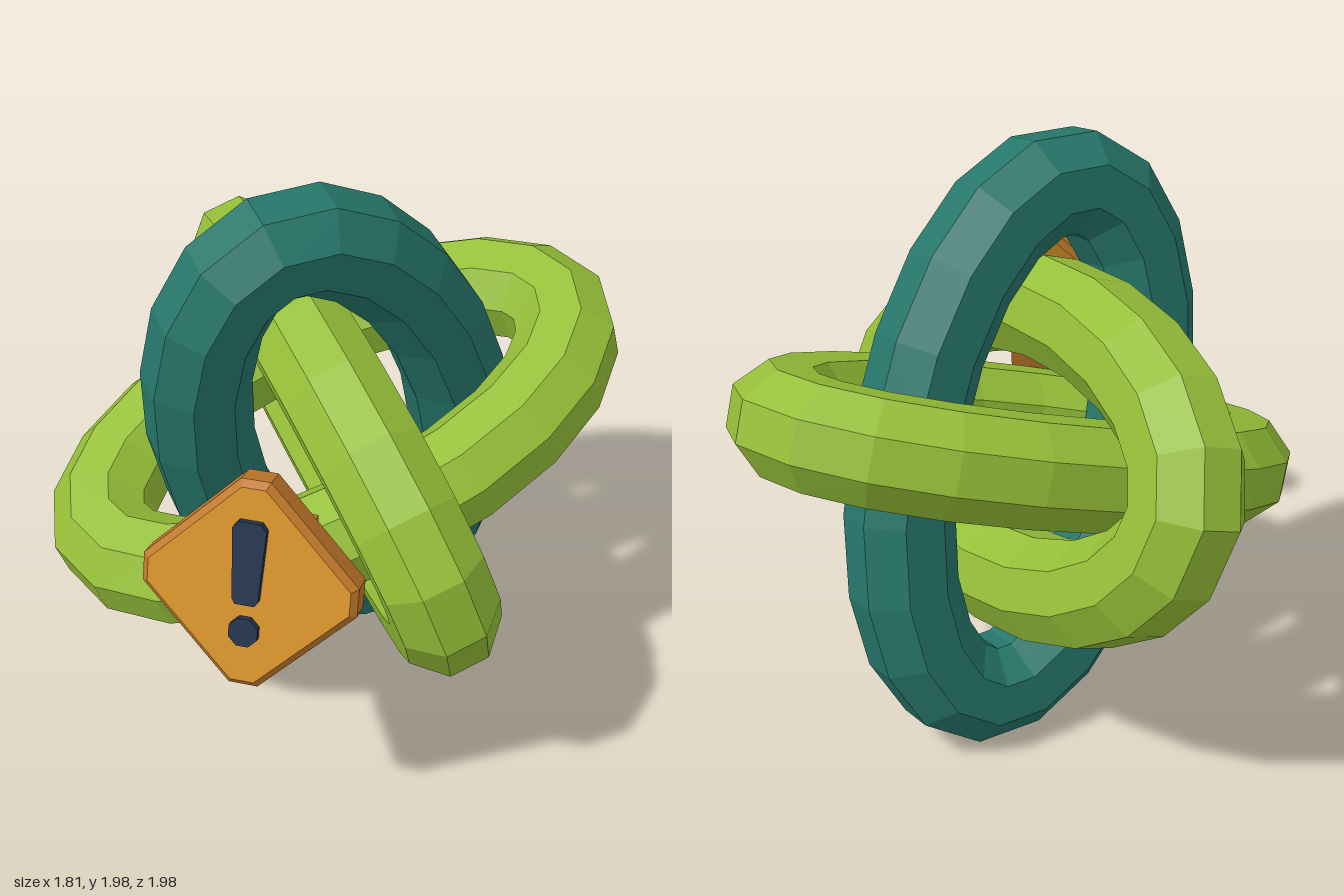
import * as THREE from 'three';

const flat = (name, color) => {
  const m = new THREE.MeshStandardMaterial({ color, flatShading: true });
  m.name = name;
  return m;
};

// Elliptical tube with an octagonal section, flat side facing outward
function ringGeometry(long, short, a, b, r, segments = 20, sides = 8) {
  const normal = long.clone().cross(short);
  const positions = [], index = [];
  for (let i = 0; i < segments; i++) {
    const t = (i / segments) * Math.PI * 2;
    const c = Math.cos(t), s = Math.sin(t);
    const out = new THREE.Vector3().addScaledVector(long, b * c).addScaledVector(short, a * s).normalize();
    for (let j = 0; j < sides; j++) {
      const p = ((j + 0.5) / sides) * Math.PI * 2;
      const v = new THREE.Vector3()
        .addScaledVector(long, a * c).addScaledVector(short, b * s)
        .addScaledVector(out, r * Math.cos(p)).addScaledVector(normal, r * Math.sin(p));
      positions.push(v.x, v.y, v.z);
      const i2 = (i + 1) % segments, j2 = (j + 1) % sides;
      const A = i * sides + j, B = i2 * sides + j, C = i2 * sides + j2, D = i * sides + j2;
      index.push(A, B, C, A, C, D);
    }
  }
  const g = new THREE.BufferGeometry();
  g.setAttribute('position', new THREE.Float32BufferAttribute(positions, 3));
  g.setIndex(index);
  g.computeVertexNormals();
  return g;
}

const polygon = (points) => new THREE.Shape(points.map(([x, y]) => new THREE.Vector2(x, y)));

export function createModel() {
  const model = new THREE.Group();
  model.name = 'interlockedRings';
  const teal = flat('teal', 0x26766a);
  const green = flat('leaf green', 0x95bf38);
  const amber = flat('amber', 0xd8922a);
  const brown = flat('orange brown', 0xc0782a);
  const navy = flat('navy', 0x24344c);

  const add = (parent, name, geometry, material, x = 0, y = 0, z = 0) => {
    const m = new THREE.Mesh(geometry, material);
    m.name = name;
    m.position.set(x, y, z);
    parent.add(m);
    return m;
  };

  // Three linked rings in mutually perpendicular planes
  const e1 = new THREE.Vector3(-0.16, 0.937, 0.31).normalize();
  const e2 = new THREE.Vector3(0.78, 0.32, -0.54);
  e2.addScaledVector(e1, -e2.dot(e1)).normalize();
  const e3 = e1.clone().cross(e2);
  const rings = [
    ['uprightRing', e1, e2, teal],
    ['levelRing', e2, e3, green],
    ['crossRing', e3, e1, green],
  ];
  for (const [name, long, short, material] of rings) {
    add(model, name, ringGeometry(long, short, 0.87, 0.45, 0.18), material, 0, 1, -0.125);
  }

  // Warning sign, leaning back
  const sign = new THREE.Group();
  sign.name = 'warningSign';
  sign.position.set(0, 1.107, 0.841);
  sign.rotation.x = -0.3;
  model.add(sign);

  const H = 0.33, c = 0.045, bevel = 0.02;
  const diamond = polygon([[H, -c], [H, c], [c, H], [-c, H], [-H, c], [-H, -c], [-c, -H], [c, -H]]);
  const plate = new THREE.ExtrudeGeometry(diamond, {
    depth: 0.08, bevelEnabled: true, bevelThickness: bevel, bevelSize: bevel, bevelOffset: -bevel, bevelSegments: 1,
  });
  plate.translate(0, 0, -0.04);
  add(sign, 'signPlate', plate, [amber, brown]);

  // Post joining the sign to the rings
  add(sign, 'signPost', new THREE.BoxGeometry(0.2, 0.16, 0.34), brown, 0, 0, -0.2);

  // Raised exclamation mark: tapered bar and dot
  const bar = polygon([[-0.03, -0.05], [0.03, -0.05], [0.04, -0.035], [0.052, 0.19],
    [0.035, 0.212], [-0.035, 0.212], [-0.052, 0.19], [-0.04, -0.035]]);
  add(sign, 'markBar', new THREE.ExtrudeGeometry(bar, { depth: 0.025, bevelEnabled: false }), navy, 0, 0, 0.058);
  const dot = new THREE.CylinderGeometry(0.048, 0.048, 0.025, 8);
  dot.rotateY(Math.PI / 8).rotateX(Math.PI / 2);
  add(sign, 'markDot', dot, navy, 0, -0.14, 0.07);

  return model;
}
